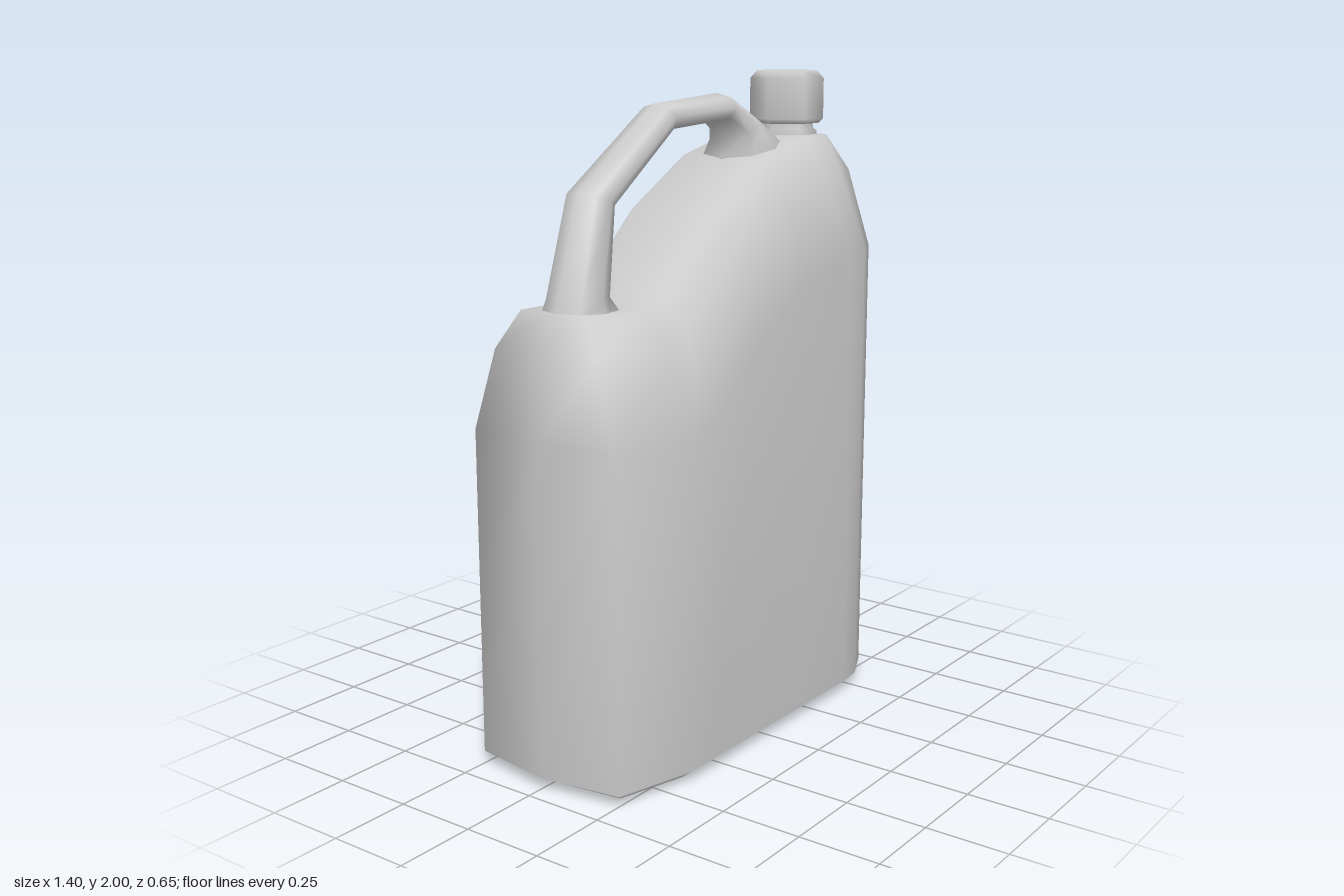
import * as THREE from 'three';

const material = new THREE.MeshStandardMaterial({ color: 0xcccccc });

// Skin equal-sized rings of points; both ends are closed with strips.
function loft(rings) {
  const n = rings[0].length, index = [];
  for (let r = 0; r < rings.length - 1; r++) {
    for (let i = 0; i < n; i++) {
      const a = r * n + i, b = r * n + (i + 1) % n;
      index.push(a, b, b + n, a, b + n, a + n);
    }
  }
  const cap = (start, flip) => {
    const tri = (a, b, c) => index.push(start + a, start + (flip ? c : b), start + (flip ? b : c));
    for (let i = 0; i < n / 2; i++) {
      const j = (n - i) % n, k = n - i - 1;
      if (i > 0) tri(i, i + 1, j);
      if (i + 1 < n / 2) tri(i + 1, k, j);
    }
  };
  cap(0, true);
  cap((rings.length - 1) * n, false);
  const geometry = new THREE.BufferGeometry();
  geometry.setAttribute('position', new THREE.Float32BufferAttribute(rings.flat(2), 3));
  geometry.setIndex(index);
  geometry.computeVertexNormals();
  return geometry;
}

function addMesh(parent, name, geometry) {
  const mesh = new THREE.Mesh(geometry, material);
  mesh.name = name;
  parent.add(mesh);
  return mesh;
}

// Plan outline with the height of the sloping top: x, half depth, top height
const stations = [
  [-0.7, 0, 1.37], [-0.66, 0.255, 1.37], [-0.4, 0.325, 1.36], [-0.3, 0.325, 1.4],
  [-0.07, 0.325, 1.6], [0.19, 0.325, 1.745], [0.43, 0.325, 1.8],
  [0.52, 0.317, 1.8], [0.64, 0.26, 1.8], [0.7, 0, 1.8],
];
const outline = [
  ...stations,
  ...stations.slice(1, -1).reverse().map(([x, z, top]) => [x, -z, top]),
];

// Body levels: height above the floor or drop below the top, x and z scale
const levels = [
  { y: 0, sx: 0.91, sz: 0.86 },
  { y: 0.035, sx: 1, sz: 1 },
  { drop: 0.35, sx: 1, sz: 1 },
  { drop: 0.11, sx: 0.98, sz: 0.71 },
  { drop: 0, sx: 0.91, sz: 0.46 },
];

function bodyGeometry() {
  return loft(levels.map(({ y, drop, sx, sz }) => outline.map(([x, z, top]) => {
    const inset = 1 - (1 - sx) * Math.abs(x / 0.7) ** 3; // only the ends pull in
    return [x * inset, y ?? top - drop, z * sz];
  })));
}

// Handle sections: outer x, y, inner x, y, half depth
const handleSections = [
  [-0.64, 1.24, -0.36, 1.24, 0.11],
  [-0.625, 1.33, -0.37, 1.36, 0.105],
  [-0.59, 1.4, -0.415, 1.4, 0.09],
  [-0.5, 1.69, -0.385, 1.645, 0.075],
  [-0.15, 1.92, -0.105, 1.84, 0.064],
  [0.16, 1.94, 0.145, 1.855, 0.078],
  [0.29, 1.865, 0.225, 1.81, 0.098],
  [0.41, 1.795, 0.18, 1.745, 0.125],
  [0.45, 1.7, 0.2, 1.65, 0.13],
];

function handleGeometry(sides = 8) {
  return loft(handleSections.map(([ox, oy, ix, iy, depth]) =>
    Array.from({ length: sides }, (_, i) => {
      const a = (i / sides) * Math.PI * 2, c = Math.cos(a) / 2;
      return [(ox + ix) / 2 + (ox - ix) * c, (oy + iy) / 2 + (oy - iy) * c, depth * Math.sin(a)];
    })));
}

// Six-sided turned shape with corners pointing along x
function hexLathe(profile) {
  const points = profile.map(([r, y]) => new THREE.Vector2(r, y));
  return new THREE.LatheGeometry(points, 6).rotateY(Math.PI / 2).scale(0.92, 1, 1);
}

export function createModel() {
  const model = new THREE.Group();
  model.name = 'jerryCan';
  addMesh(model, 'body', bodyGeometry());
  addMesh(model, 'handle', handleGeometry());

  // Spout and screw cap
  const spout = new THREE.Group();
  spout.name = 'spout';
  spout.position.x = 0.545;
  model.add(spout);
  addMesh(spout, 'neck', hexLathe([[0.1, 1.76], [0.1, 1.81], [0.088, 1.82], [0.088, 1.85]]));
  addMesh(spout, 'cap', hexLathe([
    [0, 1.835], [0.105, 1.835], [0.12, 1.85], [0.12, 1.975], [0.098, 2], [0, 2],
  ]));
  return model;
}
